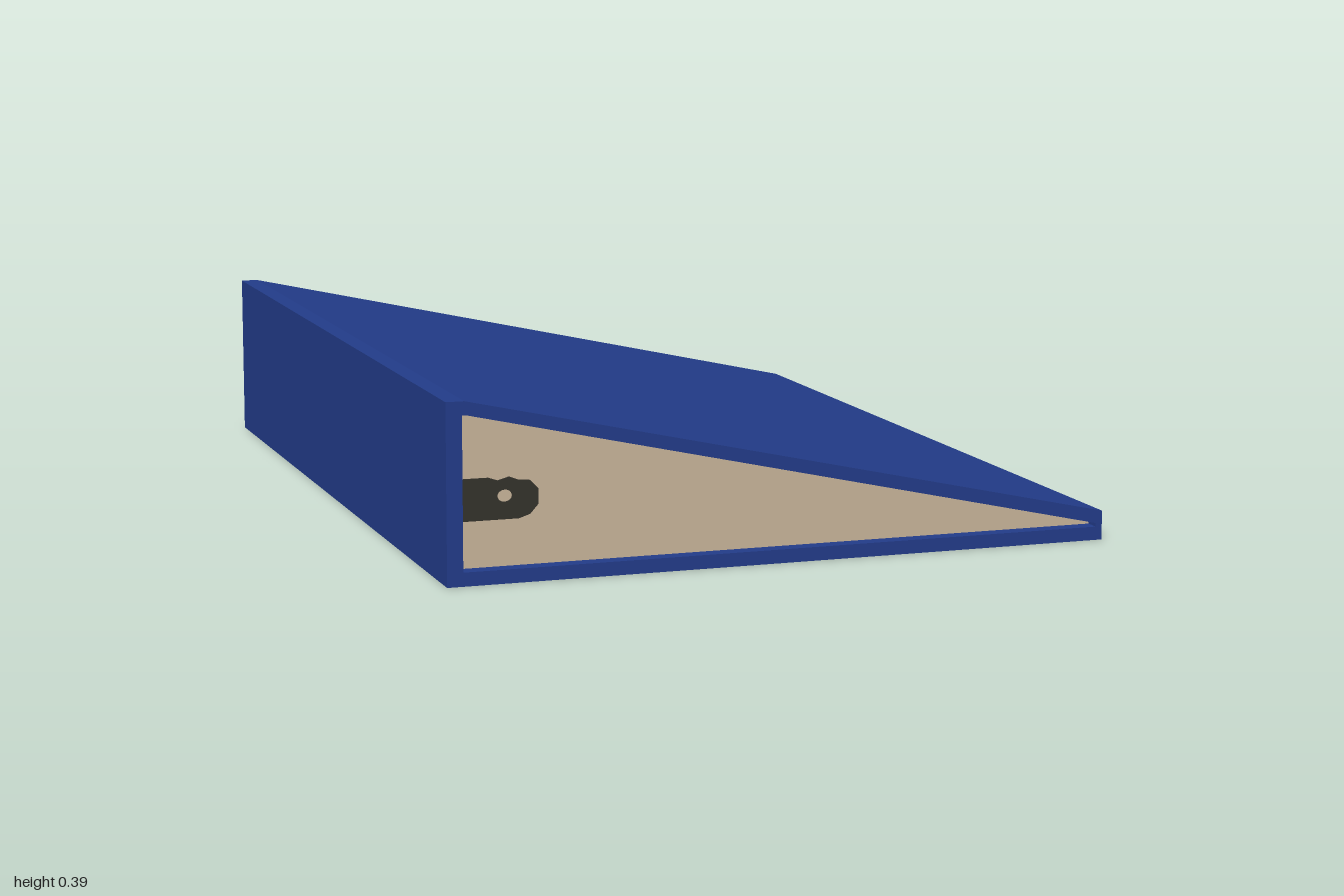
import * as THREE from 'three';

const blue = new THREE.MeshStandardMaterial({ name: 'blue shell', color: 0x223b88 });
const tan = new THREE.MeshStandardMaterial({ name: 'tan panel', color: 0xc8b49a });
const dark = new THREE.MeshStandardMaterial({ name: 'dark mark', color: 0x34322b });

const points = (list) => list.map(([x, y]) => new THREE.Vector2(x, y));

// Extrude a side profile along z, centred on the given z
function slab(name, shape, depth, z, material) {
  const geometry = new THREE.ExtrudeGeometry(shape, { depth, bevelEnabled: false, curveSegments: 10 });
  geometry.translate(0, 0, z - depth / 2);
  const mesh = new THREE.Mesh(geometry, material);
  mesh.name = name;
  return mesh;
}

export function createModel() {
  const model = new THREE.Group();
  model.name = 'wedge';

  const outer = [[-0.75, 0], [0.75, 0], [0.75, 0.065], [-0.71, 0.39], [-0.75, 0.39]];
  const inner = [[-0.715, 0.03], [0.735, 0.03], [0.735, 0.038], [-0.705, 0.36], [-0.715, 0.36]];

  // Wedge shell, open at both ends
  const shellShape = new THREE.Shape(points(outer));
  shellShape.holes.push(new THREE.Path(points(inner)));
  model.add(slab('shell', shellShape, 2, 0, blue));

  // Recessed end panels
  const panelFace = 0.965;
  for (const [name, side] of [['frontPanel', 1], ['backPanel', -1]]) {
    model.add(slab(name, new THREE.Shape(points(inner)), 0.03, side * (panelFace - 0.015), tan));
  }

  // Front finger mark: rounded tab with a small light spot
  const frontMark = new THREE.Shape(points([
    [-0.715, 0.13], [-0.585, 0.13], [-0.56, 0.138], [-0.542, 0.158], [-0.542, 0.192],
    [-0.56, 0.21], [-0.585, 0.212], [-0.605, 0.22], [-0.63, 0.213], [-0.65, 0.22], [-0.715, 0.22],
  ]));
  frontMark.holes.push(new THREE.Path().absellipse(-0.615, 0.18, 0.016, 0.013, 0, Math.PI * 2, true));
  model.add(slab('frontMark', frontMark, 0.004, panelFace + 0.001, dark));

  // Back finger mark: hooked tab with a notch open at the top
  const backMark = new THREE.Shape(points([
    [-0.715, 0.13], [-0.6, 0.13], [-0.56, 0.145], [-0.54, 0.175], [-0.542, 0.205],
    [-0.56, 0.22], [-0.585, 0.218], [-0.592, 0.2], [-0.6, 0.178], [-0.625, 0.17],
    [-0.645, 0.185], [-0.655, 0.21], [-0.715, 0.21],
  ]));
  model.add(slab('backMark', backMark, 0.004, -panelFace - 0.001, dark));

  return model;
}
